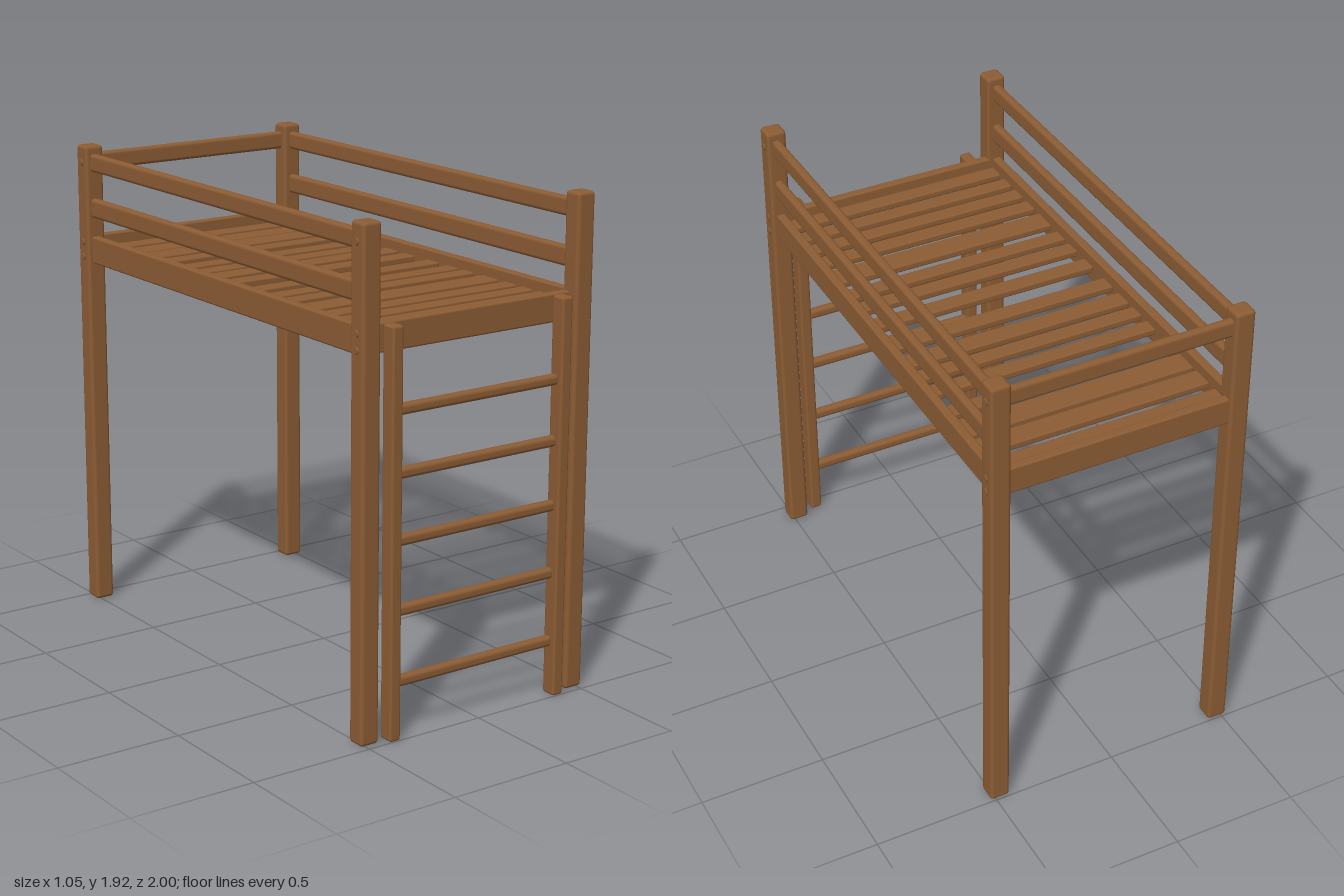
import * as THREE from 'three';
import { RoundedBoxGeometry } from 'three/addons/geometries/RoundedBoxGeometry.js';

export function createModel() {
  const bed = new THREE.Group();
  bed.name = 'loftBed';
  const wood = new THREE.MeshStandardMaterial({ color: 0x8b5c34 });
  wood.name = 'brownWood';

  // A softly rounded beam given by its limits on each axis
  function beam(name, [x0, x1], [y0, y1], [z0, z1], radius = 0.008, parent = bed) {
    const mesh = new THREE.Mesh(new RoundedBoxGeometry(x1 - x0, y1 - y0, z1 - z0, 2, radius), wood);
    mesh.position.set((x0 + x1) / 2, (y0 + y1) / 2, (z0 + z1) / 2);
    mesh.name = name;
    parent.add(mesh);
  }

  // A flat bolt head on a post, with its axis along x or z
  function bolt(x, y, z, axis) {
    const mesh = new THREE.Mesh(new THREE.CylinderGeometry(0.013, 0.015, 0.012, 12), wood);
    if (axis === 'x') mesh.rotation.z = Math.PI / 2;
    else mesh.rotation.x = Math.PI / 2;
    mesh.position.set(x, y, z);
    mesh.name = 'bolt';
    bed.add(mesh);
  }

  const span = (centre, size) => [centre - size / 2, centre + size / 2];
  const frontZ = 0.938, backZ = -0.957;
  const boardY = [1.445, 1.555], topRailY = [1.82, 1.892], midRailY = [1.632, 1.71];

  for (const side of [-1, 1]) {
    // Corner posts with bolts
    for (const z of [frontZ, backZ]) {
      beam('cornerPost', span(side * 0.481, 0.08), [0, 1.925], span(z, 0.078), 0.014);
      for (const y of [1.47, 1.53, 1.855]) {
        bolt(side * 0.521, y, z, 'x');
        if (z < 0) bolt(side * 0.481, y, z - 0.034, 'z');
      }
    }
    // Long side board and guard rails
    const x = span(side * 0.483, 0.036);
    beam('sideBoard', x, boardY, [-0.95, 0.93]);
    beam('middleGuardRail', x, midRailY, [-0.95, 0.93], 0.014);
    beam('topGuardRail', x, topRailY, [-0.95, 0.93], 0.014);
  }

  // End boards and the rail at the back
  beam('frontBoard', [-0.47, 0.47], boardY, [0.9, 0.936]);
  beam('backBoard', [-0.47, 0.47], boardY, [-0.98, -0.944]);
  beam('backGuardRail', [-0.47, 0.47], topRailY, [-0.977, -0.943], 0.014);

  // Bed slats: centre z and width
  const slats = [
    [-0.885, 0.075], [-0.765, 0.09], [-0.65, 0.1], [-0.53, 0.065],
    [-0.392, 0.066], [-0.287, 0.066], [-0.185, 0.08], [-0.066, 0.07],
    [0.088, 0.07], [0.215, 0.066], [0.313, 0.066], [0.447, 0.1],
    [0.57, 0.07], [0.67, 0.066], [0.767, 0.066], [0.868, 0.068],
  ];
  for (const [z, width] of slats) beam('slat', [-0.468, 0.468], [1.485, 1.515], span(z, width));

  // Ladder with two stiles and five rungs
  const ladder = new THREE.Group();
  ladder.name = 'ladder';
  bed.add(ladder);
  for (const side of [-1, 1]) {
    beam('ladderStile', span(side * 0.384, 0.048), [0, 1.552], [0.936, 1], 0.01, ladder);
  }
  for (const y of [0.215, 0.487, 0.752, 1.003, 1.238]) {
    beam('rung', [-0.37, 0.37], span(y, 0.042), [0.94, 0.978], 0.015, ladder);
  }

  return bed;
}
